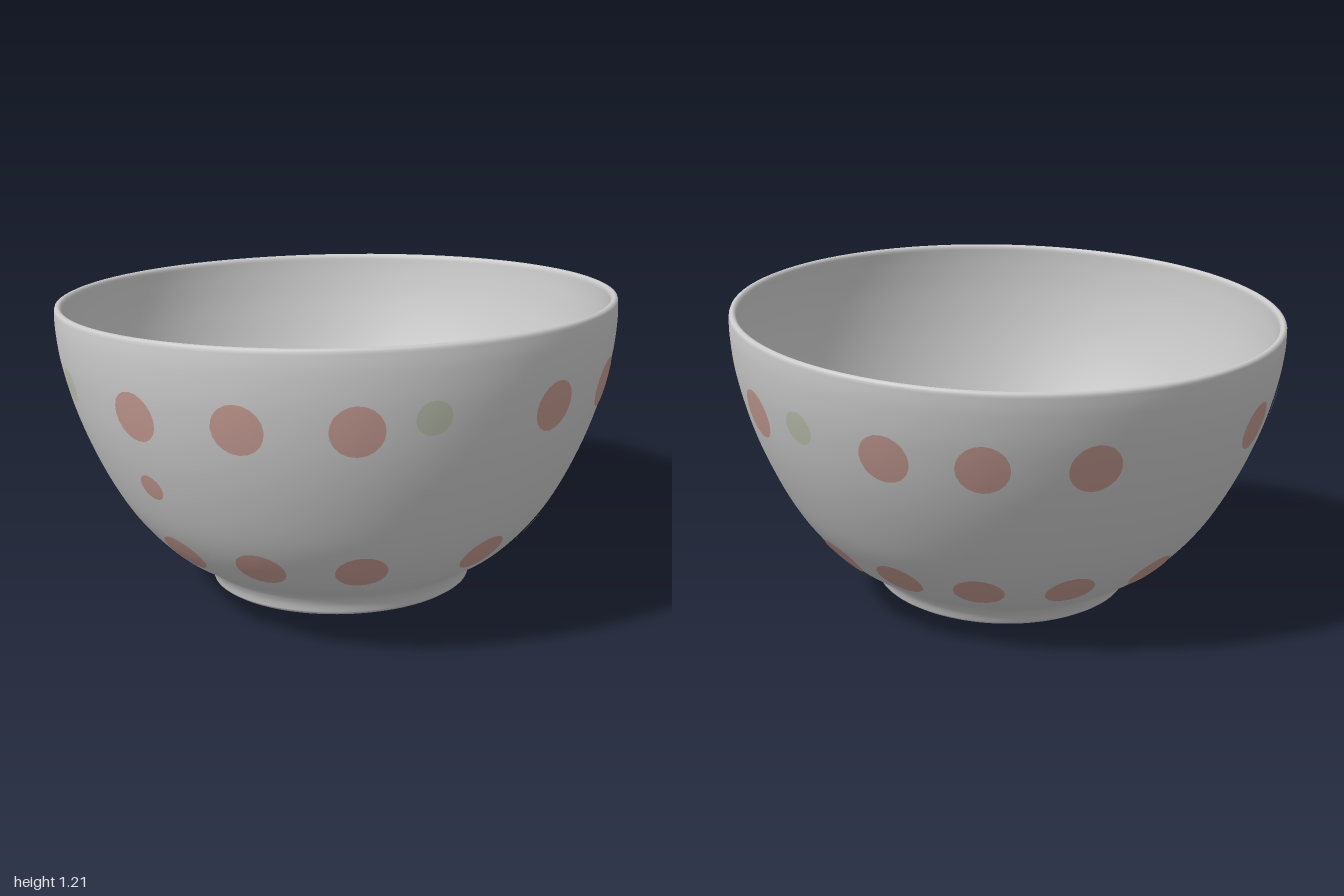
import * as THREE from 'three';

const v2 = (p) => new THREE.Vector2(p[0], p[1]);

// Outer wall from foot to rim, as [radius, height] along the bowl's own axis
const wall = new THREE.SplineCurve([
  [0.475, 0.01], [0.49, 0.05], [0.525, 0.09], [0.62, 0.15], [0.72, 0.25], [0.805, 0.37],
  [0.885, 0.53], [0.945, 0.69], [0.985, 0.85], [1.0, 0.97], [1.0, 1.04],
].map(v2));
const wallPoints = wall.getPoints(60);

// Inner wall from rim down to the middle of the floor
const innerPoints = new THREE.SplineCurve([
  [0.975, 1.04], [0.97, 0.97], [0.952, 0.85], [0.91, 0.69], [0.848, 0.53], [0.765, 0.37],
  [0.67, 0.25], [0.55, 0.165], [0.35, 0.12], [0.15, 0.11], [0, 0.11],
].map(v2)).getPoints(50);

function radiusAt(h) {
  const i = wallPoints.findIndex((p) => p.y >= h);
  const a = wallPoints[i - 1], b = wallPoints[i];
  return THREE.MathUtils.lerp(a.x, b.x, (h - a.y) / (b.y - a.y));
}

// Round painted spot bent onto the outer wall
function spotGeometry(degrees, height, size) {
  const geo = new THREE.RingGeometry(0, size, 20, 4);
  const pos = geo.attributes.position;
  const slope = (radiusAt(height + 0.02) - radiusAt(height - 0.02)) / 0.04;
  const rise = 1 / Math.hypot(1, slope);
  for (let i = 0; i < pos.count; i++) {
    const h = height + pos.getY(i) * rise;
    const angle = THREE.MathUtils.degToRad(degrees) + pos.getX(i) / radiusAt(h);
    const r = radiusAt(h) + 0.005 * rise;
    pos.setXYZ(i, r * Math.sin(angle), h - 0.005 * rise * slope, r * Math.cos(angle));
  }
  geo.computeVertexNormals();
  return geo;
}

export function createModel() {
  const model = new THREE.Group();
  model.name = 'bowl';

  // Whole bowl leans slightly towards the back right
  const leaning = new THREE.Group();
  leaning.name = 'leaningBowl';
  leaning.quaternion.setFromUnitVectors(
    new THREE.Vector3(0, 1, 0), new THREE.Vector3(-0.08, 1, -0.08).normalize());
  leaning.position.set(0.083, 0.055, 0.083);
  model.add(leaning);

  // Body: recessed underside, foot ring, wall, rounded rim and inside
  const foot = [[0, 0.055], [0.2, 0.055], [0.37, 0.05], [0.39, 0.035], [0.415, 0.008], [0.44, 0], [0.46, 0]];
  const rim = [[0.997, 1.048], [0.988, 1.052], [0.979, 1.048]];
  const profile = [...foot.map(v2), ...wallPoints, ...rim.map(v2), ...innerPoints];
  const body = new THREE.Mesh(
    new THREE.LatheGeometry(profile, 96),
    new THREE.MeshStandardMaterial({ color: 0xcccccc }));
  body.name = 'bowlBody';
  leaning.add(body);

  // Painted spots: angles run from the front towards +x
  const red = new THREE.MeshStandardMaterial({ color: 0xc49a92 });
  const green = new THREE.MeshStandardMaterial({ color: 0xbcc2b0 });
  const rows = [
    ['upperSpot', red, 0.79, 0.088, [-6, 17, 39, 81, 104, 126, 152, 188, 207, 228, 271, 288, 309]],
    ['lowerSpot', red, 0.25, 0.088, [-12, 14, 41, 77, 105, 130, 160, 182, 205, 230, 257, 285, 314]],
    ['smallSpot', red, 0.53, 0.05, [-8, -47, 121]],
    ['leafSpot', green, 0.82, 0.06, [-31, 53, 168]],
  ];
  for (const [name, material, height, size, angles] of rows) {
    for (const angle of angles) {
      const spot = new THREE.Mesh(spotGeometry(angle, height, size), material);
      spot.name = name;
      leaning.add(spot);
    }
  }
  return model;
}
